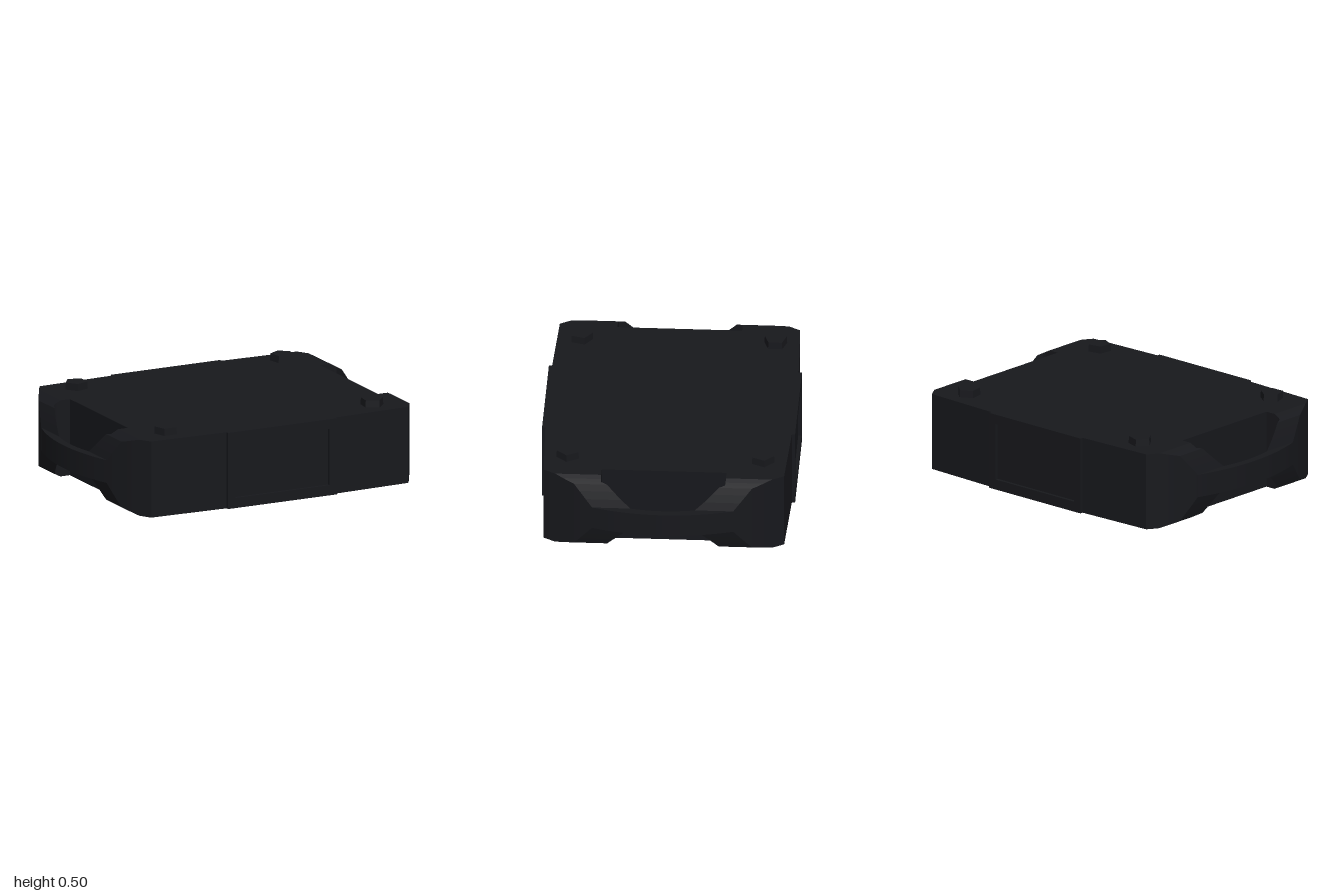
import * as THREE from 'three';

const BOTTOM = 0.03, TOP = 0.465;
const material = new THREE.MeshStandardMaterial({ color: 0x17181c, flatShading: true });

// Plan curves of the rounded sides: outer circle and inner edge of the grips
const R = 1.206, CX = 1 - R;
const outerX = z => CX + Math.sqrt(R * R - z * z);
const outerZ = x => Math.sqrt(R * R - (x - CX) ** 2);
const innerX = z => 0.955 - 0.63 * z * z;
const innerZ = x => Math.min(0.345, Math.sqrt((0.955 - x) / 0.63));

function add(group, name, geometry, x = 0, y = 0, z = 0) {
  const mesh = new THREE.Mesh(geometry, material);
  mesh.name = name;
  mesh.position.set(x, y, z);
  group.add(mesh);
  return mesh;
}

// Extrude a plan outline (x, z) upwards between two heights
function plan(points, y0, y1) {
  const shape = new THREE.Shape(points.map(([x, z]) => new THREE.Vector2(x, -z)));
  return new THREE.ExtrudeGeometry(shape, { depth: y1 - y0, bevelEnabled: false })
    .rotateX(-Math.PI / 2).translate(0, y0, 0);
}

// Corner horn: rectangular sections that shrink towards the side
function hornGeometry(sx, sz) {
  // x, low y, high y
  const sections = [
    [0.8, 0.03, 0.465], [0.82, 0.03, 0.465], [0.84, 0.03, 0.465], [0.865, 0.043, 0.452],
    [0.881, 0.052, 0.443], [0.895, 0.06, 0.435], [0.908, 0.095, 0.398],
    [0.922, 0.137, 0.355], [0.935, 0.18, 0.31],
  ];
  const pos = [], index = [];
  const quad = (a, b, c, d) =>
    sx * sz > 0 ? index.push(a, b, c, a, c, d) : index.push(a, c, b, a, d, c);
  sections.forEach(([x, lo, hi], i) => {
    const zi = innerZ(x), zo = outerZ(x);
    for (const [y, z] of [[lo, zi], [hi, zi], [hi, zo], [lo, zo]]) pos.push(sx * x, y, sz * z);
    if (i === 0) return;
    const p = (i - 1) * 4, q = i * 4;
    for (let j = 0; j < 4; j++) {
      const k = (j + 1) % 4;
      quad(p + j, p + k, q + k, q + j);
    }
  });
  const e = (sections.length - 1) * 4;
  quad(e, e + 1, e + 2, e + 3);
  const g = new THREE.BufferGeometry();
  g.setAttribute('position', new THREE.Float32BufferAttribute(pos, 3));
  g.setIndex(index);
  const flat = g.toNonIndexed();
  flat.computeVertexNormals();
  return flat;
}

// Curved grip bar between two horns
function gripGeometry() {
  const points = [], n = 24;
  for (let i = 0; i <= n; i++) {
    const z = 0.4 - 0.8 * i / n;
    points.push([outerX(z), z]);
  }
  for (let i = 0; i <= n; i++) {
    const z = -0.344 + 0.688 * i / n;
    points.push([innerX(z), z]);
  }
  return plan(points, 0.18, 0.31);
}

// Raised frame around a recessed panel
function frameGeometry() {
  const rect = (Path, x, y0, y1) => new Path([[-x, y0], [x, y0], [x, y1], [-x, y1]]
    .map(([a, b]) => new THREE.Vector2(a, b)));
  const shape = rect(THREE.Shape, 0.34, BOTTOM, TOP);
  shape.holes.push(rect(THREE.Path, 0.293, 0.088, 0.41));
  return new THREE.ExtrudeGeometry(shape, { depth: 0.04, bevelEnabled: false });
}

export function createModel() {
  const model = new THREE.Group();
  model.name = 'case';

  // Main body, with a notch for the hand on each side
  const quarter = [[0.34, 0.682], [0.8, 0.665], [0.8, 0.345], [0.78, 0.345]];
  const mirror = (pts, sx, sz) => pts.map(([x, z]) => [sx * x, sz * z]);
  add(model, 'body', plan([
    ...mirror(quarter, 1, 1),
    ...mirror(quarter, 1, -1).reverse(),
    ...mirror(quarter, -1, -1),
    ...mirror(quarter, -1, 1).reverse(),
  ], BOTTOM, TOP));

  // Frames on front and back
  add(model, 'frontPanelFrame', frameGeometry(), 0, 0, 0.66);
  add(model, 'backPanelFrame', frameGeometry(), 0, 0, -0.66).rotation.y = Math.PI;

  // Horns, grips and top studs
  for (const sx of [1, -1]) {
    const side = sx > 0 ? 'left' : 'right';
    add(model, side + 'Grip', gripGeometry()).rotation.y = sx > 0 ? 0 : Math.PI;
    for (const sz of [1, -1]) {
      const end = sz > 0 ? 'Front' : 'Back';
      add(model, side + end + 'Horn', hornGeometry(sx, sz));
      const stud = new THREE.CylinderGeometry(0.064, 0.067, 0.05, 5);
      add(model, side + end + 'Stud', stud, sx * 0.642, 0.48, sz * 0.538)
        .rotation.y = 0.2 + (sx > 0 ? 0 : 0.45) + (sz > 0 ? 0 : 0.3);
    }
  }

  // Round boss underneath
  add(model, 'bottomBoss', new THREE.CylinderGeometry(0.097, 0.103, 0.04, 20), 0, 0.02, 0);
  return model;
}
